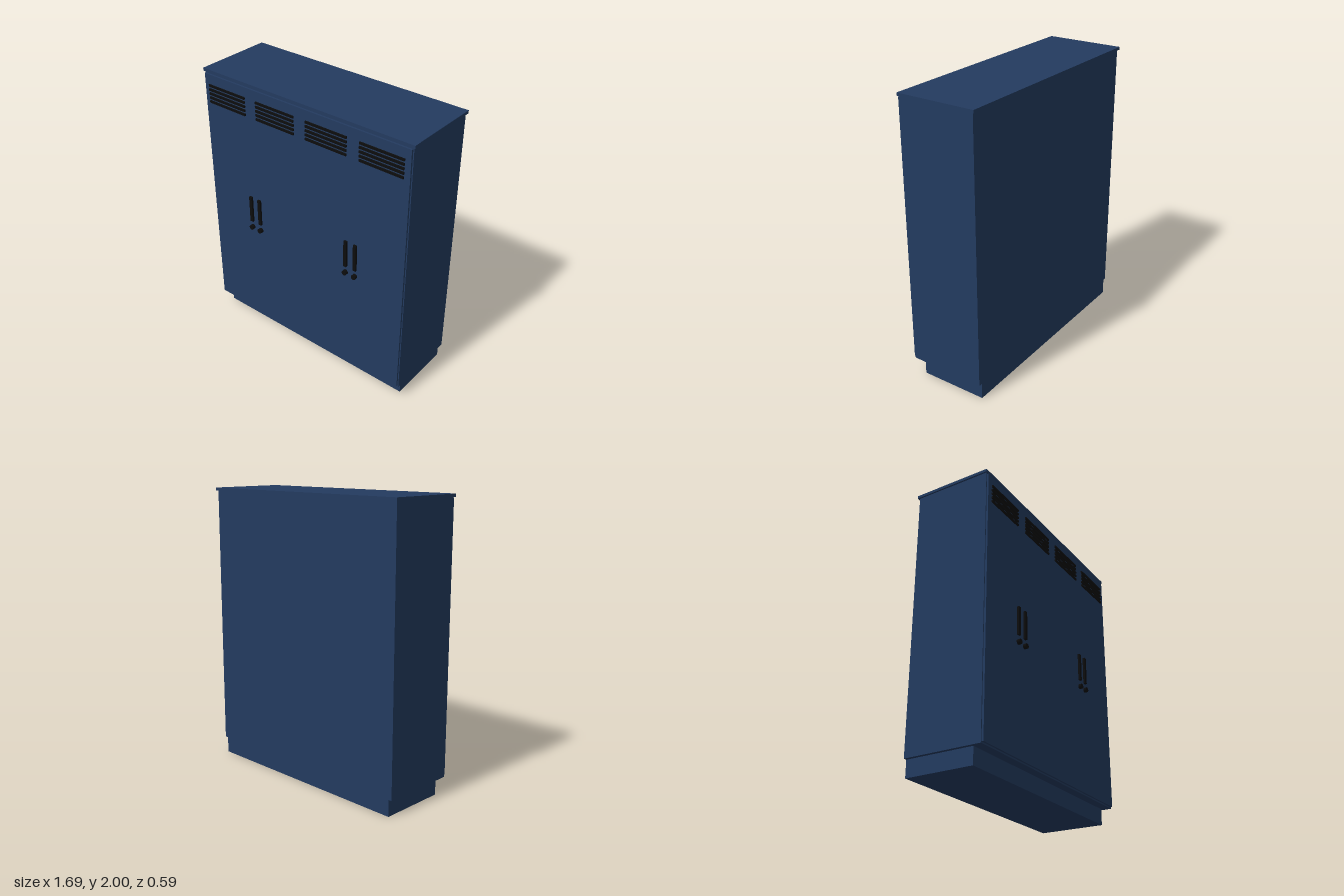
import * as THREE from 'three';

export function createModel() {
  const group = new THREE.Group();
  const navy = new THREE.MeshStandardMaterial({ color: 0x233b60 });
  navy.name = 'navy paint';
  const black = new THREE.MeshStandardMaterial({ color: 0x0d0d0d });
  black.name = 'black fittings';

  const add = (name, geometry, material, x, y, z) => {
    const mesh = new THREE.Mesh(geometry, material);
    mesh.name = name;
    mesh.position.set(x, y, z);
    group.add(mesh);
    return mesh;
  };
  // box given by its lower and upper limits on each axis
  const box = (name, material, [x0, x1], [y0, y1], [z0, z1]) =>
    add(name, new THREE.BoxGeometry(x1 - x0, y1 - y0, z1 - z0), material,
      (x0 + x1) / 2, (y0 + y1) / 2, (z0 + z1) / 2);

  // recessed plinth, carcass and overhanging lid
  box('plinth', navy, [-0.812, 0.808], [0, 0.115], [-0.284, 0.197]);
  box('cabinetBody', navy, [-0.835, 0.835], [0.115, 1.98], [-0.284, 0.262]);
  box('lid', navy, [-0.845, 0.845], [1.98, 2], [-0.297, 0.27]);

  // four doors, meeting edge to edge
  const doorWidth = 0.414;
  const front = 0.275;
  for (let i = 0; i < 4; i++) {
    const x0 = (i - 2) * doorWidth;
    box('door', navy, [x0, x0 + doorWidth], [0.125, 1.97], [0.262, front]);

    // vent slats near the top of each door
    const ventX = -0.628 + i * 0.418;
    for (let j = 0; j < 5; j++) {
      const y = 1.776 + j * 0.0293;
      box('ventSlat', black, [ventX - 0.161, ventX + 0.161], [y - 0.0075, y + 0.0075], [front, 0.285]);
    }
  }

  // pairs of handles with round locks beneath them
  for (const x of [-0.459, -0.382, 0.376, 0.453]) {
    box('handle', black, [x - 0.012, x + 0.012], [0.946, 1.147], [front, 0.29]);
    const lock = add('lock', new THREE.CylinderGeometry(0.018, 0.018, 0.022, 20), black, x, 0.896, front + 0.011);
    lock.rotation.x = Math.PI / 2;
  }
  return group;
}
